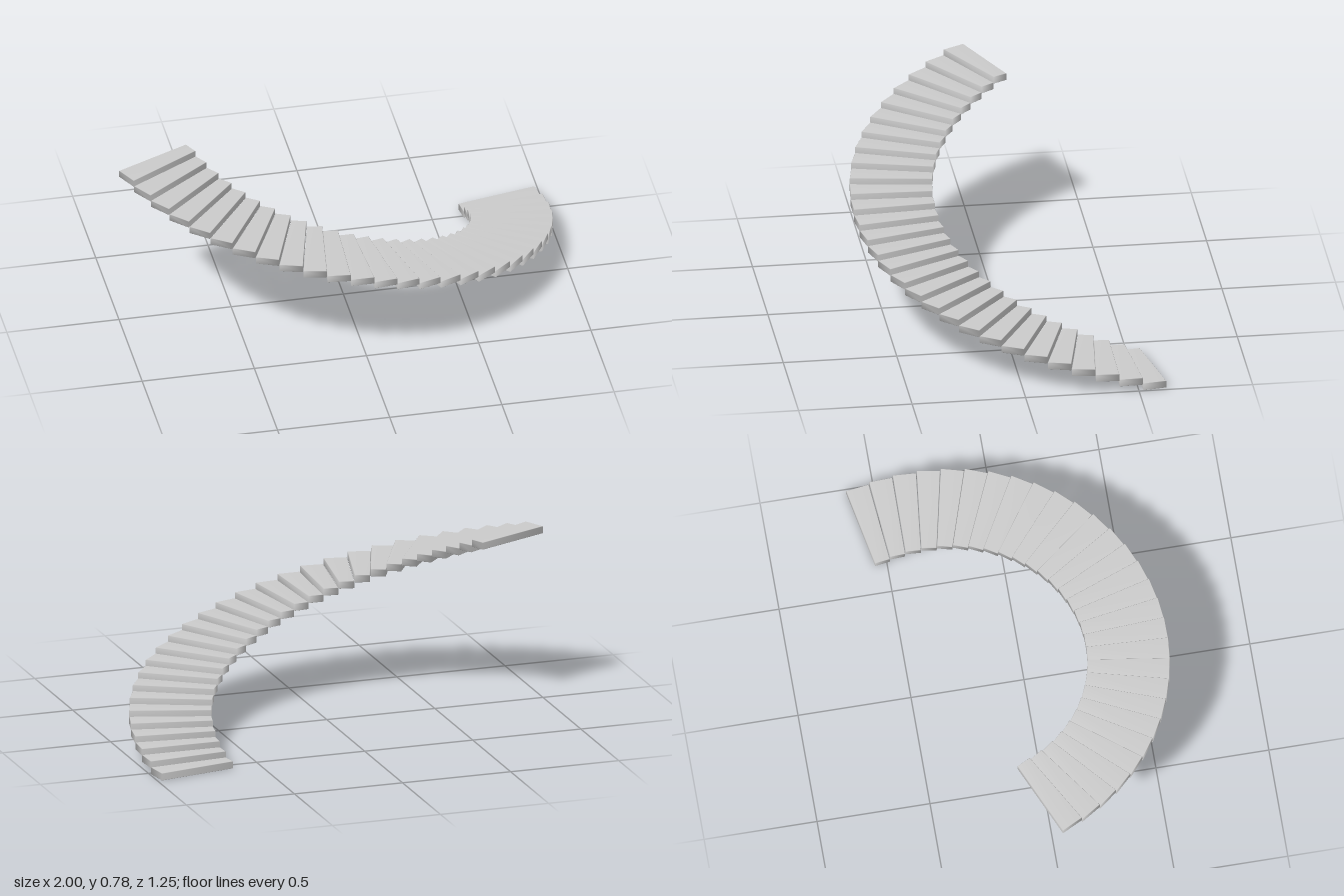
import * as THREE from 'three';
import { mergeVertices } from 'three/addons/utils/BufferGeometryUtils.js';

const STEPS = 29;
const INNER = 0.686, OUTER = 1.046;          // radii of the curved flight
const START = -11.1, END = 156;              // sweep in degrees, from +x towards +z
const RISE = 0.0267, THICK = 0.033;
const BEVEL = 0.002, GAP = 0.001;

// One wedge-shaped tread, pointing along +x, its underside at y = 0
function treadGeometry(halfAngle) {
  const c = Math.cos(halfAngle), s = Math.sin(halfAngle);
  const shape = new THREE.Shape([
    new THREE.Vector2(INNER * c, -INNER * s + GAP),
    new THREE.Vector2(OUTER * c, -OUTER * s + GAP),
    new THREE.Vector2(OUTER * c, OUTER * s - GAP),
    new THREE.Vector2(INNER * c, INNER * s - GAP),
  ]);
  let geometry = new THREE.ExtrudeGeometry(shape, {
    depth: THICK - 2 * BEVEL, bevelThickness: BEVEL, bevelSize: BEVEL,
    bevelOffset: -BEVEL, bevelSegments: 1,
  });
  geometry.rotateX(Math.PI / 2);
  geometry.translate(0, THICK - BEVEL, 0);
  // Weld the corners so the slightly rounded edges shade smoothly
  geometry.deleteAttribute('normal');
  geometry.deleteAttribute('uv');
  geometry = mergeVertices(geometry, 1e-5);
  geometry.computeVertexNormals();
  return geometry;
}

export function createModel() {
  const group = new THREE.Group();
  group.name = 'curvedStaircase';
  const material = new THREE.MeshStandardMaterial({ color: 0xcccccc });
  const pitch = THREE.MathUtils.degToRad((END - START) / STEPS);
  const first = THREE.MathUtils.degToRad(START) + pitch / 2;
  const geometry = treadGeometry(pitch / 2);

  // Treads climb around the centre of the arc
  for (let i = 0; i < STEPS; i++) {
    const tread = new THREE.Mesh(geometry, material);
    tread.name = `tread${i + 1}`;
    tread.position.set(-0.046, i * RISE, -0.422);
    tread.rotation.y = -(first + i * pitch);
    group.add(tread);
  }
  return group;
}
